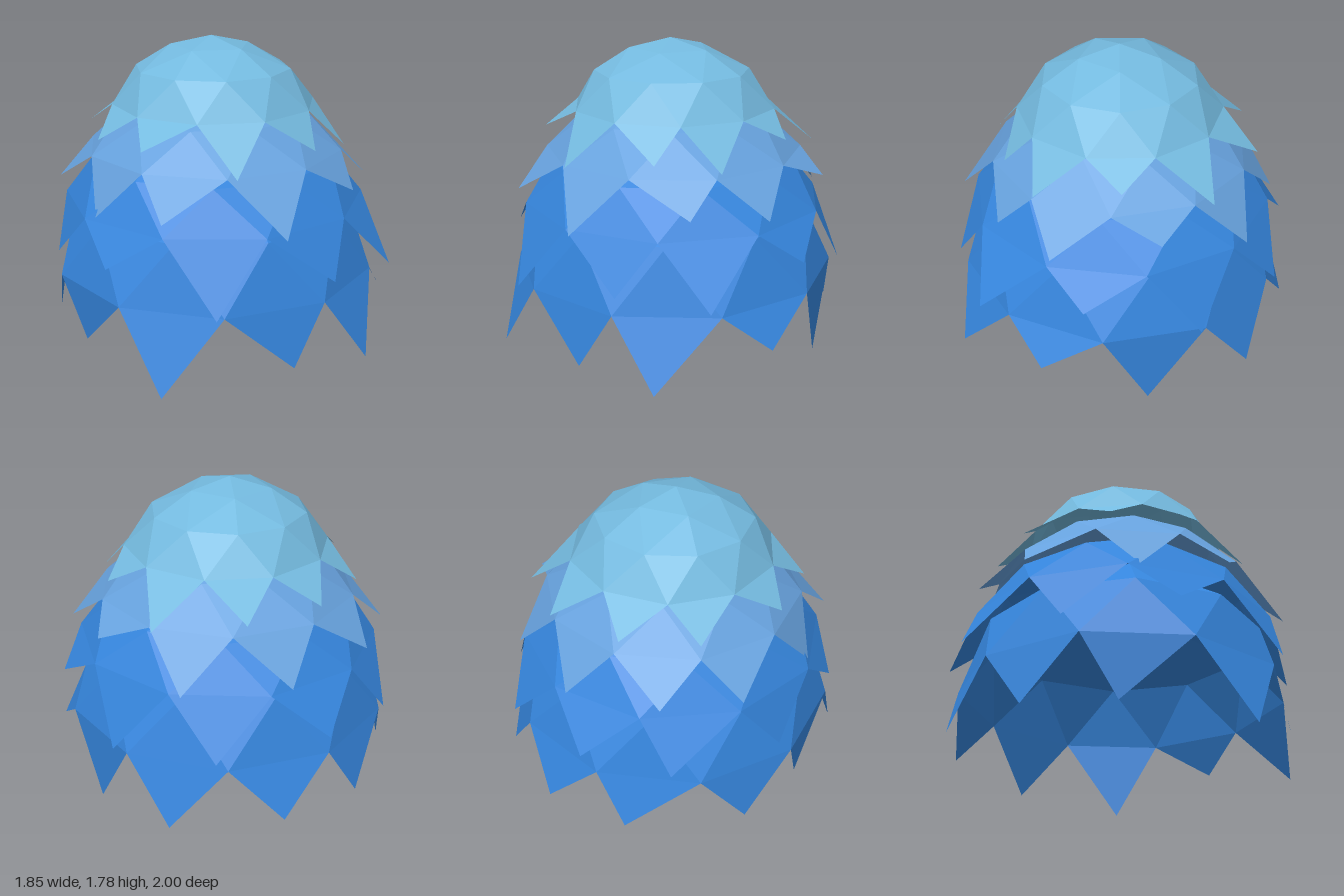
import * as THREE from 'three';

const paint = (name, color) => {
  const m = new THREE.MeshStandardMaterial({ color, flatShading: true, side: THREE.DoubleSide });
  m.name = name;
  return m;
};

// A faceted dome with ten pointed leaves hanging from its rim.
// top: apex height; crown, shoulder, edge: [radius, height] of the rings below it;
// start: angle of the first rim notch in degrees; tips: leaf points in order from there.
function leafDome(name, material, { top, crown, shoulder, edge, start, tips }) {
  const at = (deg, [r, y], shift) => {
    const a = THREE.MathUtils.degToRad(deg);
    return [shift + r * Math.sin(a), y, r * Math.cos(a)];
  };
  const apex = [0, top, 0];
  const inner = (k) => at(start - 18 + 72 * k, crown, 0);
  const middle = (j) => at(start - 18 + 36 * j, shoulder, 0.01);
  const rim = (j) => at(start + 36 * j, edge, 0.02);

  const points = [];
  const tri = (a, b, c) => points.push(...a, ...b, ...c);

  // Crown
  for (let k = 0; k < 5; k++) {
    tri(apex, inner(k), inner(k + 1));
    tri(inner(k), middle(2 * k), middle(2 * k + 1));
    tri(inner(k), middle(2 * k + 1), inner(k + 1));
    tri(inner(k + 1), middle(2 * k + 1), middle(2 * k + 2));
  }
  // Side band and leaf points
  for (let j = 0; j < 10; j++) {
    tri(middle(j), rim(j), middle(j + 1));
    tri(middle(j + 1), rim(j), rim(j + 1));
    tri(rim(j), tips[j], rim(j + 1));
  }

  const g = new THREE.BufferGeometry();
  g.setAttribute('position', new THREE.Float32BufferAttribute(points, 3));
  g.computeVertexNormals();
  const mesh = new THREE.Mesh(g, material);
  mesh.name = name;
  return mesh;
}

export function createModel() {
  const group = new THREE.Group();
  group.name = 'layeredFoliage';

  const deepBlue = paint('deep blue', 0x3585dc);
  const softBlue = paint('soft blue', 0x67a2de);
  const paleTeal = paint('pale teal', 0x74badf);

  group.add(
    leafDome('bottomLeaves', deepBlue, {
      top: 1.2, crown: [0.45, 1.08], shoulder: [0.8, 0.81], edge: [0.935, 0.46], start: 2,
      tips: [
        [0.32, 0.08, 1.0], [0.83, 0.25, 0.59], [0.9, 0, 0], [0.81, 0.1, -0.6], [0.3, 0.16, -0.96],
        [-0.2, 0.16, -0.96], [-0.74, 0.13, -0.54], [-0.84, 0.12, -0.06], [-0.8, 0.03, 0.62], [-0.15, 0.13, 0.93],
      ],
    }),
    leafDome('lowerLeaves', deepBlue, {
      top: 1.38, crown: [0.38, 1.3], shoulder: [0.7, 1.09], edge: [0.87, 0.86], start: 17,
      tips: [
        [0.59, 0.54, 0.89], [0.92, 0.68, 0.36], [0.96, 0.49, -0.28], [0.63, 0.54, -0.79], [0.04, 0.61, -1.0],
        [-0.45, 0.58, -0.88], [-0.84, 0.57, -0.35], [-0.89, 0.66, 0.25], [-0.58, 0.48, 0.81], [0.09, 0.58, 0.97],
      ],
    }),
    leafDome('upperLeaves', softBlue, {
      top: 1.53, crown: [0.28, 1.48], shoulder: [0.53, 1.35], edge: [0.74, 1.15], start: 4,
      tips: [
        [0.42, 0.97, 0.75], [0.77, 0.94, 0.51], [0.9, 1.05, -0.06], [0.71, 0.87, -0.58], [0.2, 0.89, -0.87],
        [-0.35, 0.95, -0.82], [-0.7, 0.95, -0.55], [-0.82, 0.88, 0.05], [-0.72, 0.95, 0.53], [-0.2, 0.86, 0.91],
      ],
    }),
    leafDome('topLeaves', paleTeal, {
      top: 1.78, crown: [0.235, 1.725], shoulder: [0.445, 1.6], edge: [0.585, 1.4], start: 26,
      tips: [
        [0.52, 1.18, 0.56], [0.73, 1.28, 0.12], [0.75, 1.17, -0.37], [0.38, 1.24, -0.71], [-0.07, 1.25, -0.75],
        [-0.46, 1.25, -0.58], [-0.7, 1.26, -0.1], [-0.67, 1.27, 0.28], [-0.34, 1.15, 0.67], [0.19, 1.22, 0.68],
      ],
    }),
  );
  return group;
}
